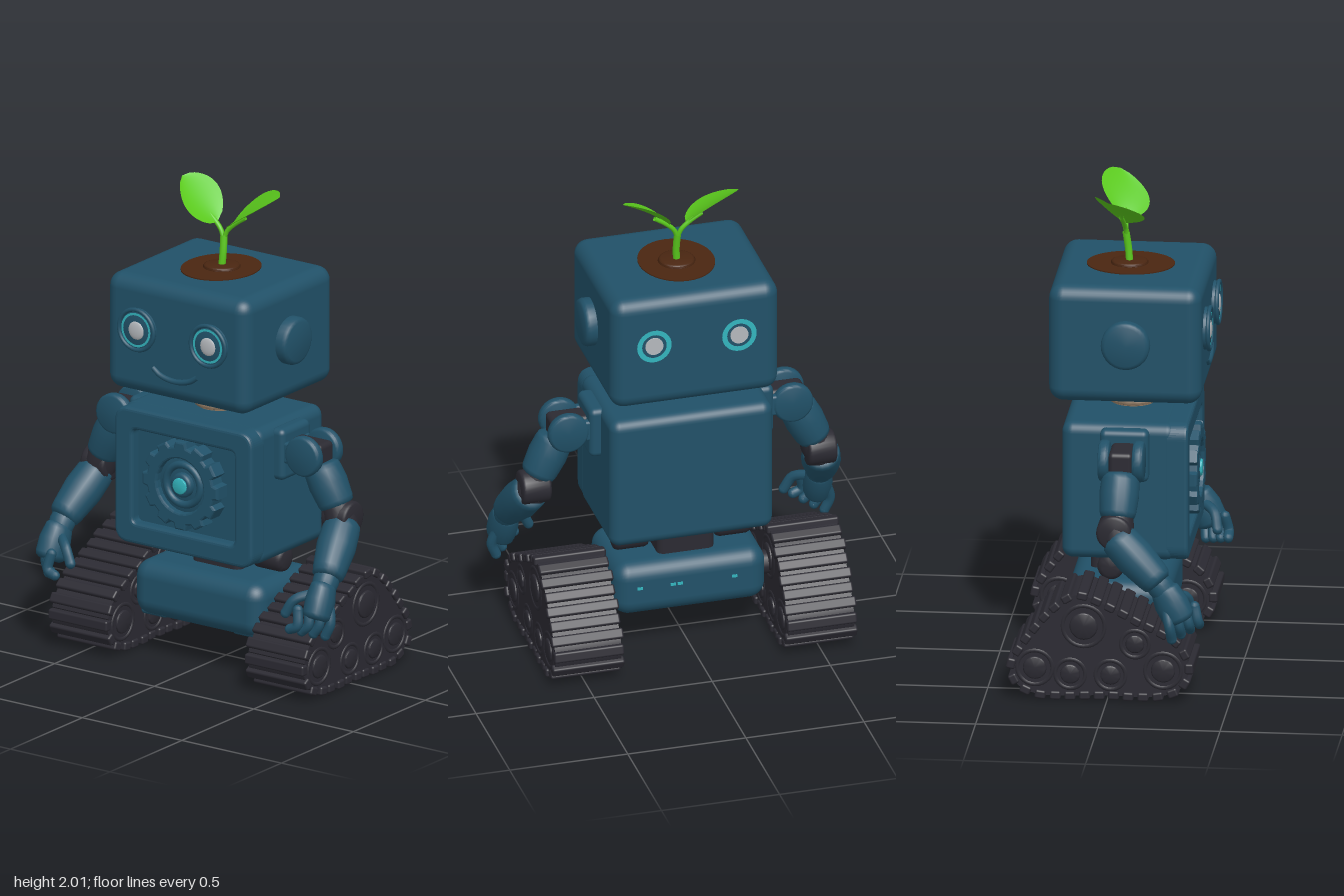
import * as THREE from 'three';
import { RoundedBoxGeometry } from 'three/addons/geometries/RoundedBoxGeometry.js';
import { toCreasedNormals } from 'three/addons/utils/BufferGeometryUtils.js';

const mat = (name, color, side = THREE.FrontSide) => {
  const m = new THREE.MeshStandardMaterial({ color, side });
  m.name = name;
  return m;
};
const V = (x, y, z) => new THREE.Vector3(x, y, z);

export function createModel() {
  const blue = mat('paintedBlue', 0x215168), dark = mat('darkRubber', 0x2b2a32);
  const tan = mat('neckTan', 0x8a745e), soilMat = mat('soilBrown', 0x4a2611);
  const green = mat('leafGreen', 0x5ac81c, THREE.DoubleSide);
  const cyan = mat('glowCyan', 0x33b4bd, THREE.DoubleSide), pale = mat('lensGrey', 0xb4b8bc);
  const robot = new THREE.Group();
  robot.name = 'plantRobot';

  const add = (name, geo, m, x = 0, y = 0, z = 0, parent = robot) => {
    const mesh = new THREE.Mesh(geo, m);
    mesh.name = name;
    mesh.position.set(x, y, z);
    parent.add(mesh);
    return mesh;
  };
  const box = (w, h, d, r) => new RoundedBoxGeometry(w, h, d, 4, r);
  // Disc with a softly rounded rim, axis along 'x', 'y' or 'z'
  const disc = (r, w, axis = 'y', b = 0.012) => {
    const h = w / 2, pts = [[0, -h], [r - b, -h], [r - b * 0.3, -h + b * 0.3], [r, -h + b],
      [r, h - b], [r - b * 0.3, h - b * 0.3], [r - b, h], [0, h]].map(p => new THREE.Vector2(...p));
    const g = toCreasedNormals(new THREE.LatheGeometry(pts, 28), 0.9);
    if (axis === 'x') g.rotateZ(Math.PI / 2);
    if (axis === 'z') g.rotateX(Math.PI / 2);
    return g;
  };
  // Swollen limb from a to b with rounded ends
  const limb = (name, a, b, ra, rb, m, parent) => {
    const L = a.distanceTo(b), mid = Math.max(ra, rb) * 1.05;
    const pts = [[0, 0], [ra * 0.75, 0], [ra * 0.95, 0.06], [ra, 0.15], [mid, 0.45], [rb, 0.85],
      [rb * 0.93, 0.94], [rb * 0.7, 1], [0, 1]].map(([r, t]) => new THREE.Vector2(r, t * L));
    const mesh = add(name, new THREE.LatheGeometry(pts, 18), m, a.x, a.y, a.z, parent);
    mesh.quaternion.setFromUnitVectors(V(0, 1, 0), b.clone().sub(a).normalize());
    return mesh;
  };
  const roundRect = (P, w, h, r) => {
    const s = new P(), x = w / 2, y = h / 2;
    s.moveTo(-x + r, -y).lineTo(x - r, -y).quadraticCurveTo(x, -y, x, -y + r);
    s.lineTo(x, y - r).quadraticCurveTo(x, y, x - r, y).lineTo(-x + r, y);
    s.quadraticCurveTo(-x, y, -x, y - r).lineTo(-x, -y + r).quadraticCurveTo(-x, -y, -x + r, -y);
    return s;
  };

  // Head, smile and neck
  add('head', box(0.71, 0.495, 0.625, 0.06), blue, 0, 1.418, 0.043);
  const smile = new THREE.CatmullRomCurve3([V(-0.11, 1.3, 0.353), V(-0.07, 1.275, 0.356),
    V(0, 1.262, 0.356), V(0.07, 1.275, 0.356), V(0.11, 1.3, 0.353)]);
  add('mouth', new THREE.TubeGeometry(smile, 24, 0.012, 8), blue);
  add('neck', new THREE.CylinderGeometry(0.09, 0.09, 0.14, 24), tan, 0, 1.13, 0.045);
  for (let i = 0; i < 3; i++)
    add('neckRing', disc(0.118 - Math.abs(i - 1) * 0.012, 0.024), tan, 0, 1.1 + i * 0.032, 0.045);

  for (const s of [-1, 1]) {
    add('ear', disc(0.1, 0.09, 'x', 0.018), blue, s * 0.358, 1.43, 0.05);
    // Front eye with a raised socket
    add('eyeSocket', disc(0.088, 0.05, 'z'), blue, s * 0.18, 1.455, 0.352);
    add('eyeRim', new THREE.TorusGeometry(0.086, 0.009, 8, 32), blue, s * 0.18, 1.455, 0.376);
    add('eyeRing', new THREE.RingGeometry(0.063, 0.073, 32), cyan, s * 0.18, 1.455, 0.379);
    const lens = add('eyeLens', new THREE.SphereGeometry(0.039, 16, 10), pale, s * 0.18, 1.452, 0.376);
    lens.scale.z = 0.25;
    // Flat lamps on the back of the head
    const ring = add('rearLampRing', new THREE.RingGeometry(0.052, 0.073, 32), cyan, s * 0.18, 1.455, -0.273);
    ring.rotation.y = Math.PI;
    add('rearLamp', new THREE.CylinderGeometry(0.038, 0.038, 0.006, 20).rotateX(Math.PI / 2), pale,
      s * 0.18, 1.455, -0.272);
  }

  // Soil and sprout
  add('soil', new THREE.CylinderGeometry(1, 1, 0.012, 36), soilMat, 0, 1.664, 0.035).scale.set(0.157, 1, 0.18);
  add('soilMound', disc(0.077, 0.022), soilMat, 0, 1.671, 0.03);
  const stem = new THREE.CatmullRomCurve3([V(0, 1.67, 0.03), V(0.003, 1.73, 0.025), V(0, 1.8, 0.015)]);
  add('stem', new THREE.TubeGeometry(stem, 10, 0.015, 10), green);
  for (const s of [-1, 1]) {
    const twig = new THREE.CatmullRomCurve3([V(0, 1.78, 0.018), V(s * 0.015, 1.82, 0.014),
      V(s * 0.05, 1.855, 0.01), V(s * 0.1, 1.89, 0.005)]);
    add('leafStalk', new THREE.TubeGeometry(twig, 12, 0.01, 8), green);
    const g = new THREE.PlaneGeometry(1, 2, 16, 8), p = g.attributes.position;
    for (let i = 0; i < p.count; i++) {
      const u = p.getX(i) + 0.5, v = p.getY(i);
      const w = Math.pow(Math.max(0, Math.sin(Math.PI * Math.pow(u, 0.9))), 0.6);
      p.setXYZ(i, s * (0.035 + 0.21 * u - 0.015 * w * v * v),
        1.848 + 0.147 * Math.pow(u, 0.85) - 0.035 * v * w + 0.012 * v * v * w,
        0.012 - 0.045 * u * u + v * w * 0.098);
    }
    g.computeVertexNormals();
    add('leaf', g, green);
  }

  // Torso with a framed, recessed front panel
  add('torso', box(0.69, 0.58, 0.47, 0.045), blue, 0, 0.793, 0.02);
  const frame = roundRect(THREE.Shape, 0.66, 0.55, 0.05);
  frame.holes.push(roundRect(THREE.Path, 0.54, 0.43, 0.04));
  add('chestFrame', new THREE.ExtrudeGeometry(frame, { depth: 0.07, bevelThickness: 0.015, bevelSize: 0.015,
    bevelSegments: 3 }), blue, 0, 0.793, 0.217);

  // Chest gear
  const gear = new THREE.Shape(), N = 12;
  for (let i = 0; i < N; i++)
    [[-0.3, 0.16], [-0.2, 0.182], [0.2, 0.182], [0.3, 0.16]].forEach(([o, r], k) => {
      const a = (i + o) / N * Math.PI * 2;
      gear[i + k ? 'lineTo' : 'moveTo'](Math.cos(a) * r, Math.sin(a) * r);
    });
  gear.closePath();
  gear.holes.push(new THREE.Path().absarc(0, 0, 0.125, 0, Math.PI * 2, true));
  add('chestGear', new THREE.ExtrudeGeometry(gear, { depth: 0.06, bevelThickness: 0.01, bevelSize: 0.008,
    bevelSegments: 2 }), blue, 0, 0.805, 0.255);
  add('gearPlate', disc(0.13, 0.05, 'z'), blue, 0, 0.805, 0.27);
  add('gearRing', new THREE.TorusGeometry(0.085, 0.016, 10, 32), blue, 0, 0.805, 0.297);
  add('gearHub', disc(0.052, 0.07, 'z'), blue, 0, 0.805, 0.285);
  add('chestLight', disc(0.034, 0.01, 'z', 0.003), cyan, 0, 0.805, 0.323);

  // Waist and pelvis
  add('waist', box(0.24, 0.16, 0.2, 0.03), dark, 0, 0.45, -0.02);
  add('pelvis', box(0.645, 0.235, 0.42, 0.07), blue, 0, 0.283, 0.01);
  for (const s of [-1, 1]) {
    add('waistRoller', disc(0.055, 0.15, 'x', 0.02), dark, s * 0.215, 0.455, -0.02);
    add('pelvisFoot', box(0.13, 0.05, 0.2, 0.015), blue, s * 0.23, 0.192, 0.09);
  }
  for (const x of [0.22, 0.08, 0.05, -0.18])
    add('rearIndicator', new THREE.BoxGeometry(0.022, 0.012, 0.006), cyan, x, 0.3, -0.2);

  // Tracks: path points are (z, y)
  const loop = new THREE.CatmullRomCurve3([[0.325, 0.14], [0.29, 0.06], [0.2, 0.03], [0, 0.03], [-0.29, 0.03],
    [-0.36, 0.065], [-0.383, 0.13], [-0.345, 0.21], [-0.2, 0.385], [-0.12, 0.43], [-0.04, 0.405], [0.12, 0.325],
    [0.28, 0.235]].map(([z, y]) => V(z, y, 0)), true, 'centripetal');
  const offset = (t, d) => {
    const p = loop.getPointAt(t % 1), q = loop.getTangentAt(t % 1);
    return new THREE.Vector2(p.x + q.y * -d * -1 * -1, p.y + q.x * d);
  };
  const ringPts = d => Array.from({ length: 72 }, (_, i) => offset(i / 72, d));
  const belt = new THREE.Shape(ringPts(-0.014));
  // The path runs clockwise, so positive offsets lie outside
  const outer = ringPts(0.012), inner = ringPts(-0.014);
  belt.setFromPoints(outer);
  belt.holes.push(new THREE.Path(inner));
  const beltGeo = toCreasedNormals(new THREE.ExtrudeGeometry(belt, { depth: 0.28, bevelEnabled: false })
    .translate(0, 0, -0.14).rotateY(-Math.PI / 2), 0.6);
  const wheels = [[0.23, 0.13, 0.09], [0.015, 0.105, 0.075], [-0.15, 0.105, 0.075], [-0.295, 0.128, 0.088],
    [0.115, 0.24, 0.07], [-0.095, 0.31, 0.105]];
  for (const s of [-1, 1]) {
    const track = new THREE.Group();
    track.name = s > 0 ? 'leftTrack' : 'rightTrack';
    track.position.x = s * 0.493;
    robot.add(track);
    add('belt', beltGeo, dark, 0, 0, 0, track);
    for (let i = 0; i < 30; i++) {
      const c = offset(i / 30, 0.011), q = loop.getTangentAt(i / 30);
      const rib = add('tread', box(i % 2 ? 0.305 : 0.295, 0.036, 0.044, 0.009), dark, 0, c.y, c.x, track);
      rib.rotation.x = -Math.atan2(q.y, q.x);
    }
    for (const [z, y, r] of wheels) {
      add('wheel', disc(r, 0.27, 'x'), dark, 0, y, z, track);
      for (const e of [-1, 1]) {
        add('wheelRim', new THREE.TorusGeometry(r * 0.82, 0.011, 8, 28).rotateY(Math.PI / 2), dark, e * 0.133, y, z, track);
        add('wheelHub', disc(r * 0.55, 0.02, 'x', 0.006), dark, e * 0.137, y, z, track);
      }
    }
    add('axle', new THREE.CylinderGeometry(0.05, 0.05, 0.16, 16).rotateZ(Math.PI / 2), dark, -s * 0.18, 0.28, -0.08, track);
  }

  // Arms
  for (const s of [-1, 1]) {
    const arm = new THREE.Group();
    arm.name = s > 0 ? 'leftArm' : 'rightArm';
    robot.add(arm);
    const P = (x, y, z) => V(s * x, y, z);
    add('shoulderPlate', box(0.07, 0.22, 0.2, 0.025), blue, s * 0.355, 0.96, 0.045, arm);
    add('shoulderLink', box(0.18, 0.1, 0.1, 0.02), dark, s * 0.45, 0.97, 0.045, arm);
    for (const e of [-1, 1]) {
      add('shoulderDisc', disc(0.085, 0.045, 'z'), blue, s * 0.475, 0.97, 0.045 + e * 0.07, arm);
      add('shoulderStrut', box(0.12, 0.09, 0.035, 0.012), blue, s * 0.41, 0.97, 0.045 + e * 0.07, arm);
    }
    limb('upperArm', P(0.505, 0.925, 0.045), P(0.59, 0.755, 0.038), 0.078, 0.075, blue, arm);
    limb('elbow', P(0.575, 0.785, 0.038), P(0.622, 0.655, 0.04), 0.064, 0.066, dark, arm);
    add('elbowPivot', disc(0.072, 0.12, 'x'), dark, s * 0.605, 0.715, 0.03, arm);
    limb('forearm', P(0.612, 0.695, 0.03), P(0.665, 0.51, 0.22), 0.078, 0.07, blue, arm);
    limb('wrist', P(0.66, 0.53, 0.2), P(0.663, 0.46, 0.25), 0.052, 0.05, blue, arm);
    const palm = limb('palm', P(0.663, 0.495, 0.235), P(0.67, 0.355, 0.305), 0.062, 0.068, blue, arm);
    palm.scale.x = 0.85;
    // Curled fingers and thumb
    const digit = (name, pts, r) => {
      add(name, new THREE.TubeGeometry(new THREE.CatmullRomCurve3(pts), 10, r, 10), blue, 0, 0, 0, arm);
      for (const e of [pts[0], pts.at(-1)]) add(name + 'End', new THREE.SphereGeometry(r, 10, 8), blue, e.x, e.y, e.z, arm);
    };
    for (let i = 0; i < 4; i++)
      digit('finger', [P(0.7 - 0.027 * i, 0.405, 0.25 + 0.036 * i), P(0.716 - 0.03 * i, 0.34, 0.265 + 0.036 * i),
        P(0.695 - 0.035 * i, 0.285 + 0.012 * i, 0.272 + 0.034 * i)], 0.021);
    digit('thumb', [P(0.635, 0.455, 0.27), P(0.575, 0.43, 0.32), P(0.54, 0.37, 0.335)], 0.021);
  }
  return robot;
}
